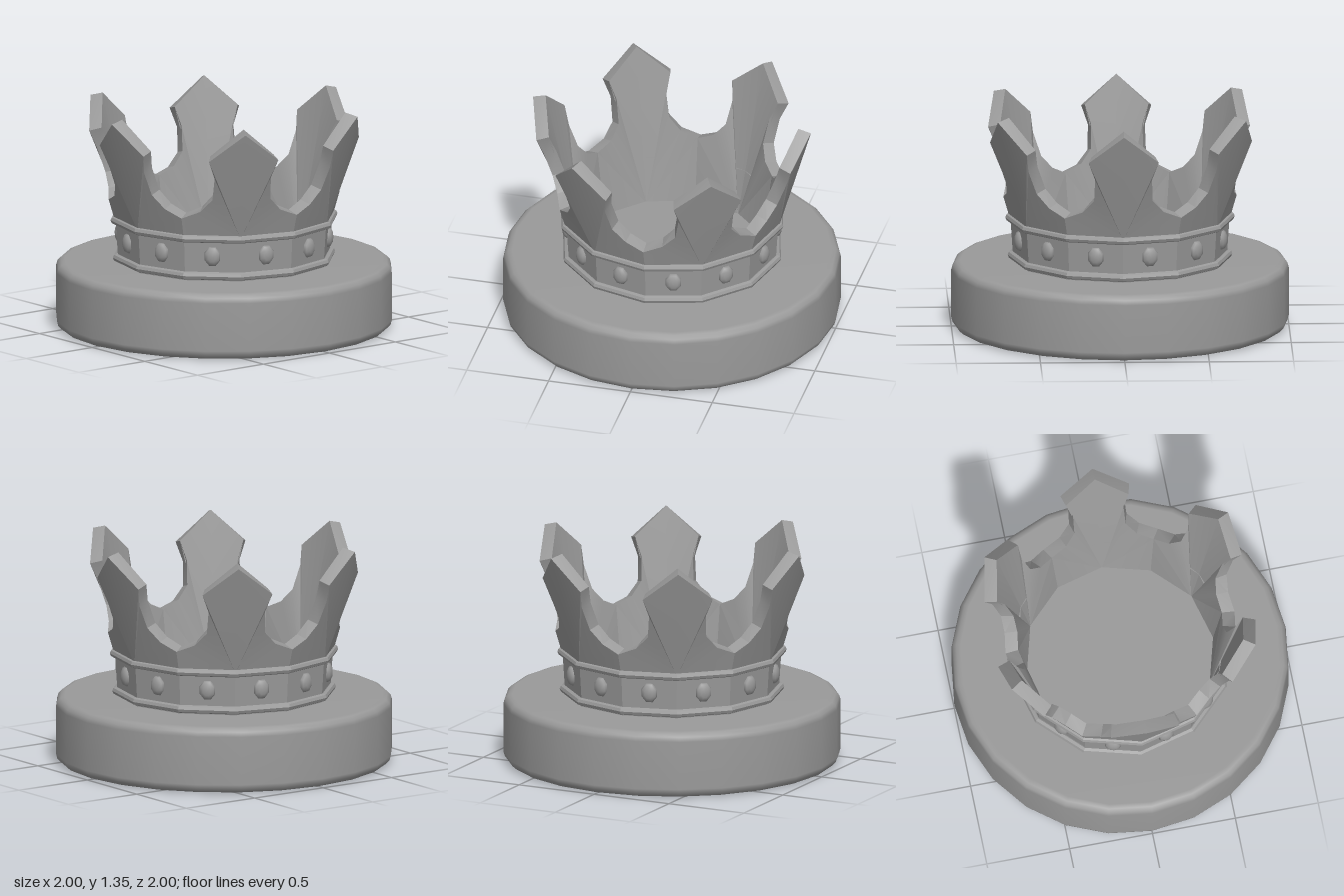
import * as THREE from 'three';
import { toCreasedNormals } from 'three/addons/utils/BufferGeometryUtils.js';

const smooth = new THREE.MeshStandardMaterial({ color: 0x9a9a9a });
const flat = new THREE.MeshStandardMaterial({ color: 0x9a9a9a, flatShading: true });

function add(parent, name, geometry, material) {
  const mesh = new THREE.Mesh(geometry, material);
  mesh.name = name;
  parent.add(mesh);
  return mesh;
}

const lathe = (points, sides) =>
  new THREE.LatheGeometry(points.map(([r, y]) => new THREE.Vector2(r, y)), sides);

// Flared six-pointed wall: half a spike per face of a twelve-sided cone
function spikesGeometry() {
  const radius = (y) => 0.655 + 0.29 * (y - 0.66);
  // [x, y, outward push] on the outer face, null = the edge shared with the next spike
  const outline = [[0, 0.66, 0], [null, 0.66, 0], [null, 0.785, 0], [0.24, 0.83, 0],
    [0.172, 0.91, 0.005], [0.165, 1.05, 0.018], [0.2, 1.16, 0.032], [0, 1.33, 0]]
    .map(([x, y, push]) => ({ t: x === null ? 1 : 2 * x / radius(y), y, push }));
  const faces = THREE.ShapeUtils.triangulateShape(
    outline.map((p) => new THREE.Vector2(p.t, p.y)), []);
  const pos = [];

  for (let i = 0; i < 6; i++) {
    for (const side of [1, -1]) {
      const a = i * Math.PI / 3, b = a + side * Math.PI / 6;
      const place = (p, r, y) => [
        r * THREE.MathUtils.lerp(Math.sin(a), Math.sin(b), p.t),
        y,
        r * THREE.MathUtils.lerp(Math.cos(a), Math.cos(b), p.t)];
      const outer = outline.map((p) => place(p, radius(p.y) + p.push, p.y));
      // The inner wall runs on down to the floor
      const inner = outline.map((p, k) => k < 2
        ? place(p, 0.56, 0.39)
        : place(p, radius(p.y) + p.push - 0.077, p.y + 0.02));
      const tri = (p, q, r) => pos.push(...p, ...(side > 0 ? q : r), ...(side > 0 ? r : q));
      for (const [p, q, r] of faces) {
        tri(outer[p], outer[q], outer[r]);
        tri(inner[p], inner[r], inner[q]);
      }
      // Rim thickness along the valley and the tip
      for (let k = 2; k < outline.length - 1; k++) {
        tri(outer[k], inner[k], inner[k + 1]);
        tri(outer[k], inner[k + 1], outer[k + 1]);
      }
    }
  }
  const geometry = new THREE.BufferGeometry();
  geometry.setAttribute('position', new THREE.Float32BufferAttribute(pos, 3));
  return toCreasedNormals(geometry, 0.45);
}

// Rounded bead around the band
function beadGeometry(r, y) {
  const points = [];
  for (let i = 0; i <= 8; i++) {
    const t = -Math.PI / 2 + i * Math.PI / 4;
    points.push([r + 0.024 * Math.cos(t), y + 0.024 * Math.sin(t)]);
  }
  return lathe(points, 12);
}

export function createModel() {
  const model = new THREE.Group();
  model.name = 'crownOnPedestal';

  // Round pedestal with softened rims
  const profile = [[0, 0]];
  for (const [cy, start] of [[0.055, -Math.PI / 2], [0.345, 0]]) {
    for (let i = 0; i <= 3; i++) {
      const t = start + i * Math.PI / 6;
      profile.push([0.945 + 0.055 * Math.cos(t), cy + 0.055 * Math.sin(t)]);
    }
  }
  profile.push([0, 0.4]);
  add(model, 'pedestal', lathe(profile, 24), smooth);

  const crown = new THREE.Group();
  crown.name = 'crown';
  model.add(crown);

  // Band and its two beads
  add(crown, 'band', lathe([[0.6, 0.39], [0.632, 0.39], [0.65, 0.665], [0.62, 0.67]], 12), flat);
  add(crown, 'lowerBead', beadGeometry(0.642, 0.431), flat);
  add(crown, 'upperBead', beadGeometry(0.656, 0.658), flat);

  add(crown, 'spikes', spikesGeometry(), smooth);

  // One oval stud on each face of the band
  const stud = new THREE.SphereGeometry(1, 8, 6);
  stud.rotateX(Math.PI / 2);
  stud.rotateZ(Math.PI / 8);
  stud.scale(0.05, 0.062, 0.03);
  for (let i = 0; i < 12; i++) {
    const a = (i + 0.5) * Math.PI / 6;
    const mesh = add(crown, 'stud', stud, smooth);
    mesh.position.set(0.622 * Math.sin(a), 0.55, 0.622 * Math.cos(a));
    mesh.rotation.y = a;
  }

  return model;
}
